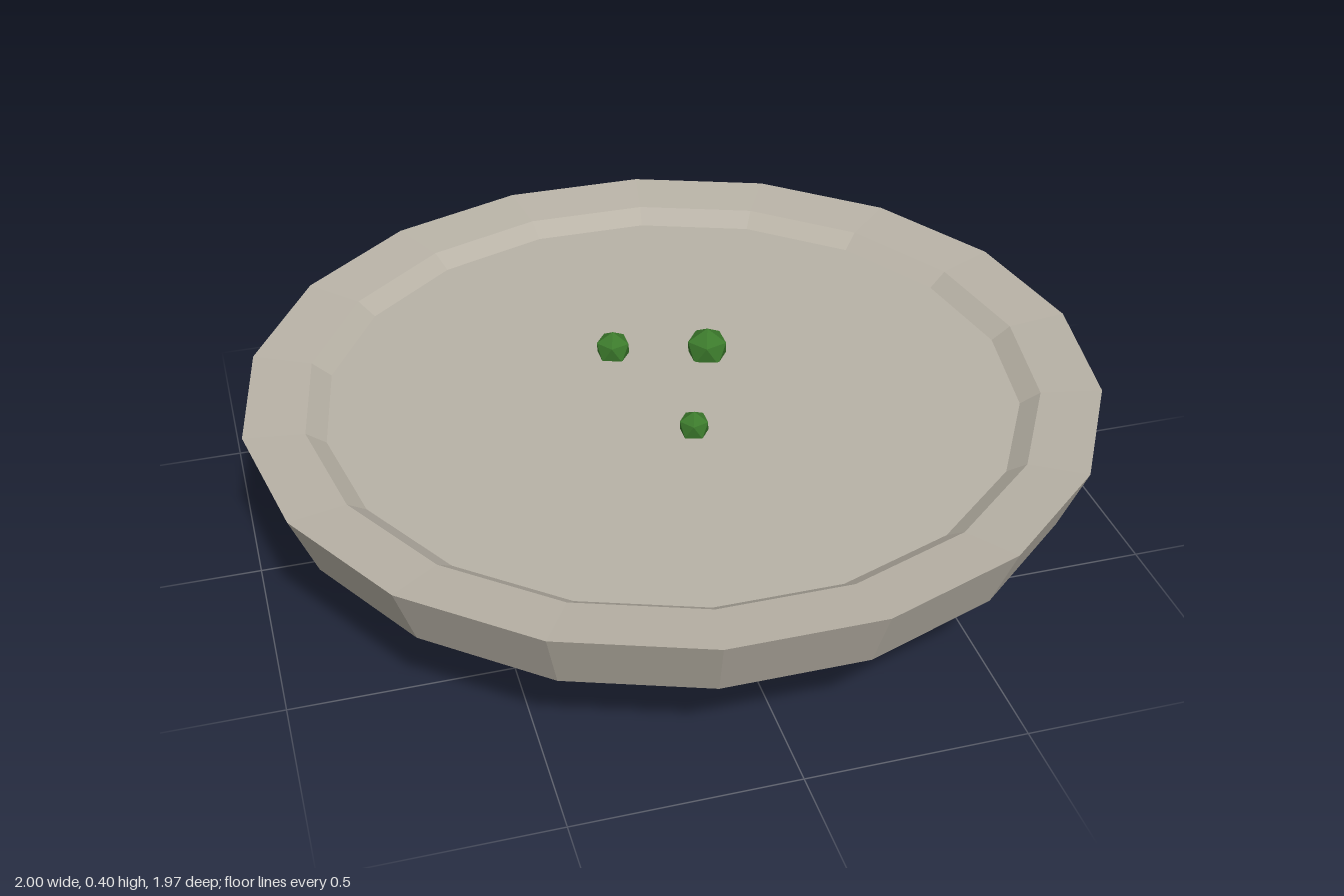
import * as THREE from 'three';

const SIDES = 18;
const mat = (color) => new THREE.MeshStandardMaterial({ color, flatShading: true });

export function createModel() {
  const model = new THREE.Group();
  const add = (name, geometry, material) => {
    const mesh = new THREE.Mesh(geometry, material);
    mesh.name = name;
    model.add(mesh);
    return mesh;
  };

  // Stone bowl: base, flared wall, gently sloping rim, short inner wall
  const profile = [
    [0, 0], [0.5, 0], [0.695, 0.066], [0.94, 0.222], [1, 0.375], [0.86, 0.362], [0.815, 0.33],
  ].map(([r, y]) => new THREE.Vector2(r, y));
  const bowl = new THREE.LatheGeometry(profile, SIDES).rotateY(Math.PI / 2);
  add('bowl', bowl, mat(0xb8b2a6));

  // Flat surface filling the bowl
  const surface = new THREE.CircleGeometry(0.815, SIDES).rotateX(-Math.PI / 2);
  add('surface', surface, mat(0xb8b2a6)).position.y = 0.33;

  // Small round plants, each partly sunk, with one corner pointing up
  const green = mat(0x3c7a2c);
  const tilt = Math.atan(2 / (1 + Math.sqrt(5)));
  [[0.125, -0.13, 0.054], [-0.095, -0.19, 0.045], [0, 0.185, 0.038]].forEach(([x, z, r], i) => {
    const ball = new THREE.IcosahedronGeometry(r, 0).rotateZ(tilt);
    add('plant' + (i + 1), ball, green).position.set(x, 0.347, z);
  });

  return model;
}
